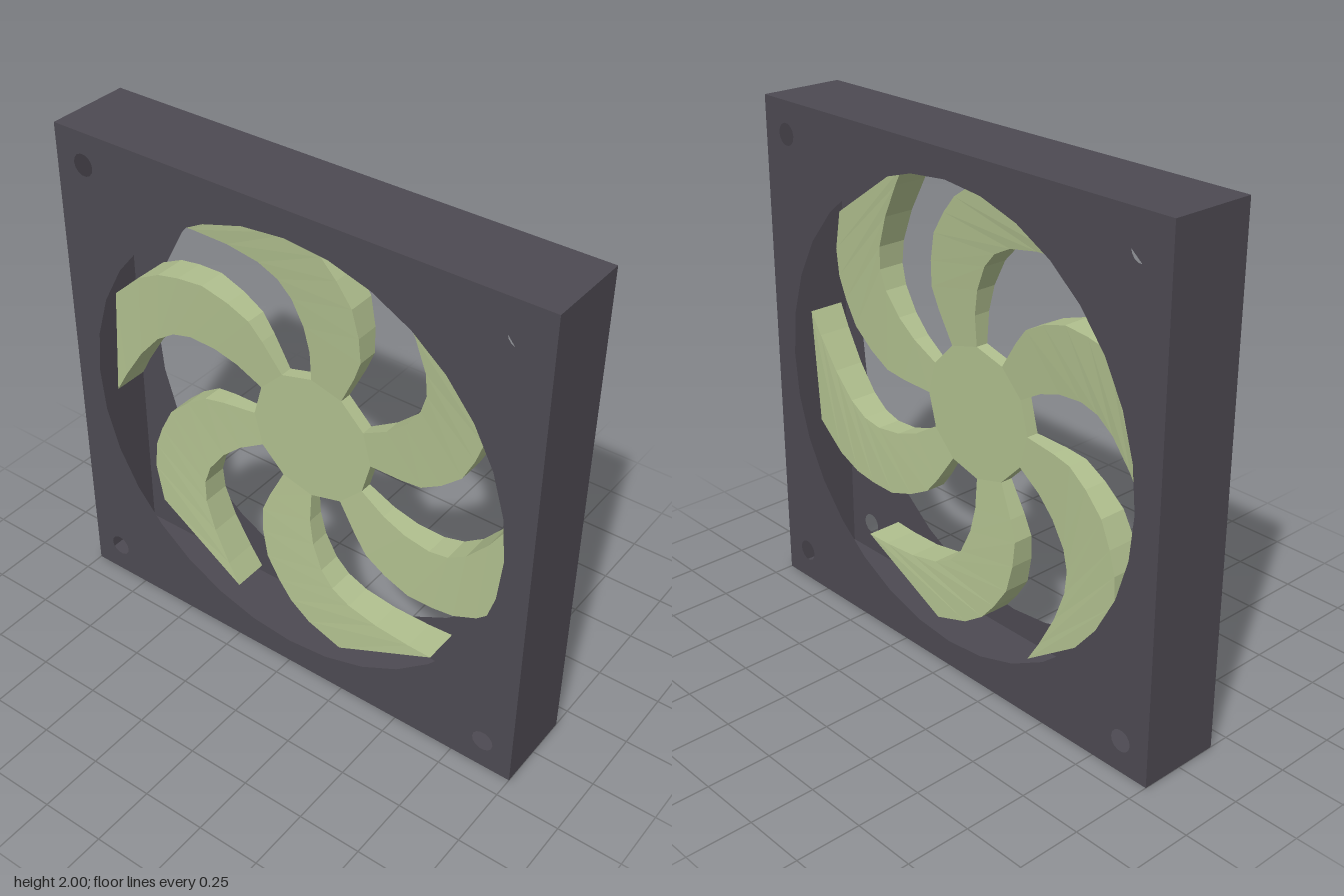
import * as THREE from 'three';

const HALF = 1, DEPTH = 0.168, CENTRE_Y = 1;
const HUB_R = 0.26, HUB_HALF = 0.025, TIP_R = 0.92, TIP_HALF = 0.073;

const frameMaterial = new THREE.MeshStandardMaterial({ color: 0x4d4a52, side: THREE.DoubleSide, flatShading: true });
const bladeMaterial = new THREE.MeshStandardMaterial({ color: 0xb0bf8e, flatShading: true });

function addMesh(parent, name, geometry, material) {
  const mesh = new THREE.Mesh(geometry, material);
  mesh.name = name;
  parent.add(mesh);
  return mesh;
}

function circlePath(x, y, r, sides) {
  const points = [];
  for (let i = 0; i < sides; i++) {
    const a = (i / sides) * Math.PI * 2;
    points.push(new THREE.Vector2(x + r * Math.cos(a), y + r * Math.sin(a)));
  }
  return new THREE.Path(points);
}

// Square sheet with the fan opening and four screw holes
function plateGeometry() {
  const shape = new THREE.Shape([[-1, -1], [1, -1], [1, 1], [-1, 1]]
    .map(([x, y]) => new THREE.Vector2(x * HALF, y * HALF)));
  shape.holes.push(circlePath(0, 0, 0.895, 32));
  for (const x of [-1, 1]) for (const y of [-1, 1]) {
    shape.holes.push(circlePath(x * 0.877, y * 0.873, 0.043, 14));
  }
  return new THREE.ShapeGeometry(shape);
}

// Curved blade from four-cornered sections, thickening away from the hub
function bladeGeometry() {
  const inner = [[0, 0.26], [0, 0.38], [-0.02, 0.48], [-0.065, 0.58], [-0.12, 0.64],
    [-0.2, 0.68], [-0.33, 0.705], [-0.48, 0.712], [-0.58, 0.71]];
  const outer = [[0.13, 0.225], [0.19, 0.35], [0.22, 0.43], [0.215, 0.53], [0.19, 0.64],
    [0.13, 0.73], [0.07, 0.8], [-0.02, 0.86], [-0.17, 0.907]];
  const halfThickness = ([x, y]) => THREE.MathUtils.mapLinear(Math.hypot(x, y), HUB_R, TIP_R, HUB_HALF, TIP_HALF);
  const positions = [], index = [];
  inner.forEach((p, i) => {
    const q = outer[i], hp = halfThickness(p), hq = halfThickness(q);
    positions.push(...p, hp, ...q, hq, ...q, -hq, ...p, -hp);
  });
  const quad = (a, b, c, d) => index.push(a, b, c, a, c, d);
  for (let i = 0; i < inner.length - 1; i++) {
    for (let k = 0; k < 4; k++) {
      const n = (k + 1) % 4;
      quad(i * 4 + k, i * 4 + n, i * 4 + 4 + n, i * 4 + 4 + k);
    }
  }
  const tip = (inner.length - 1) * 4;
  quad(tip, tip + 1, tip + 2, tip + 3);
  const geometry = new THREE.BufferGeometry();
  geometry.setAttribute('position', new THREE.Float32BufferAttribute(positions, 3));
  geometry.setIndex(index);
  const flat = geometry.toNonIndexed();
  flat.computeVertexNormals();
  return flat;
}

export function createModel() {
  const model = new THREE.Group();
  model.name = 'caseFan';

  // Hollow housing
  const housing = new THREE.Group();
  housing.name = 'housing';
  housing.position.y = CENTRE_Y;
  model.add(housing);
  const plate = plateGeometry();
  addMesh(housing, 'frontPlate', plate, frameMaterial).position.z = DEPTH;
  const back = addMesh(housing, 'backPlate', plate, frameMaterial);
  back.position.z = -DEPTH;
  back.rotation.y = Math.PI;
  const wall = new THREE.PlaneGeometry(HALF * 2, DEPTH * 2).rotateX(-Math.PI / 2).translate(0, HALF, 0);
  ['topWall', 'leftWall', 'bottomWall', 'rightWall'].forEach((name, i) => {
    addMesh(housing, name, wall, frameMaterial).rotation.z = -i * Math.PI / 2;
  });

  // Rotor: hub and six blades
  const rotor = new THREE.Group();
  rotor.name = 'rotor';
  rotor.position.y = CENTRE_Y;
  model.add(rotor);
  addMesh(rotor, 'hub', new THREE.CylinderGeometry(HUB_R, HUB_R, HUB_HALF * 2, 12).rotateX(Math.PI / 2), bladeMaterial);
  const blade = bladeGeometry();
  for (let i = 0; i < 6; i++) {
    addMesh(rotor, 'blade', blade, bladeMaterial).rotation.z = i * Math.PI / 3;
  }
  return model;
}
